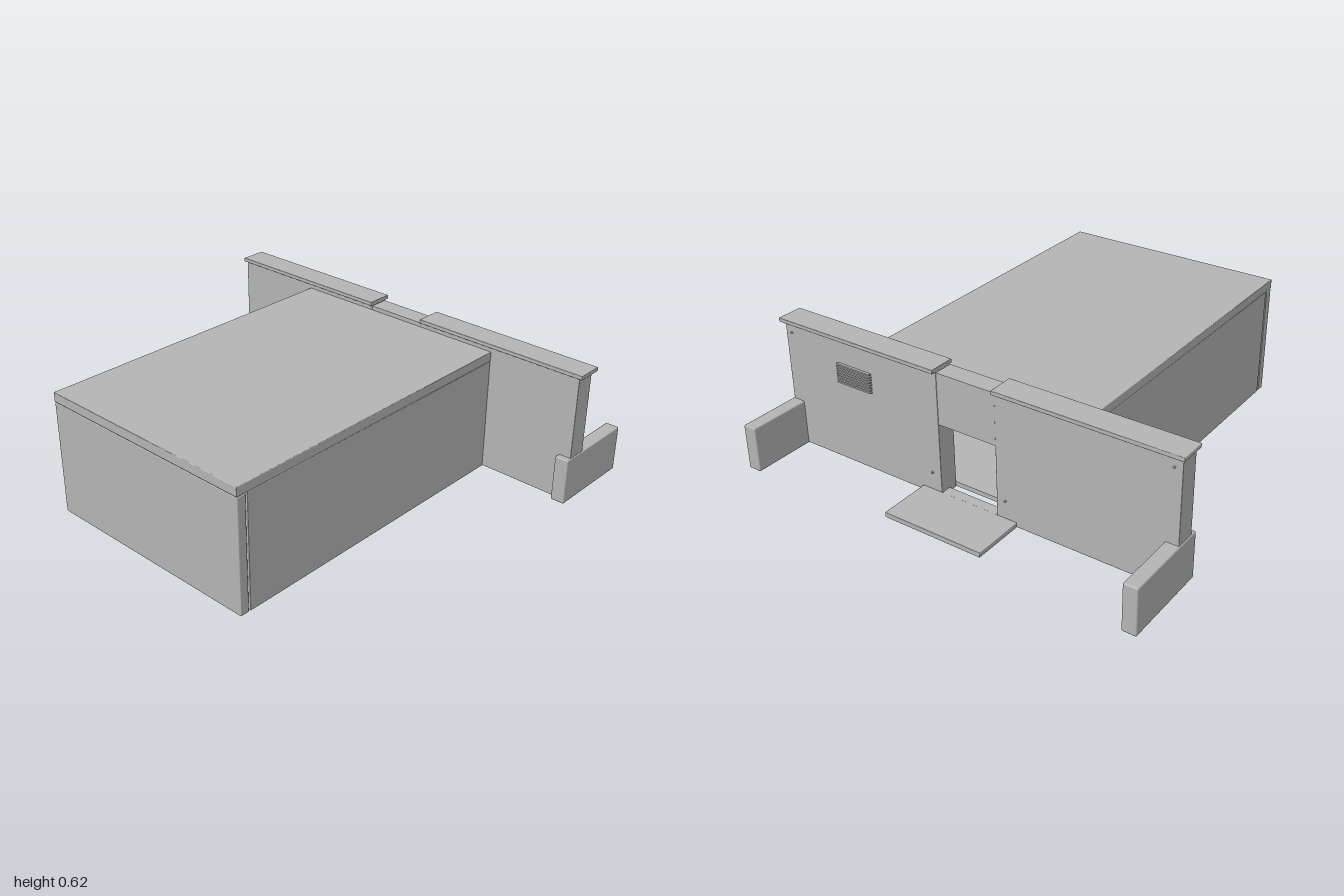
import * as THREE from 'three';
import { RoundedBoxGeometry } from 'three/addons/geometries/RoundedBoxGeometry.js';

export function createModel() {
  const model = new THREE.Group();
  model.name = 'houseBox';
  const greyBoard = new THREE.MeshStandardMaterial({ color: 0xb4b4b4 });
  greyBoard.name = 'grey board';

  // Board given by its min and max corners; r eases the edges slightly
  function board(name, [x0, x1], [y0, y1], [z0, z1], r = 0) {
    const size = [x1 - x0, y1 - y0, z1 - z0];
    const geometry = r ? new RoundedBoxGeometry(...size, 1, r) : new THREE.BoxGeometry(...size);
    const mesh = new THREE.Mesh(geometry, greyBoard);
    mesh.position.set((x0 + x1) / 2, (y0 + y1) / 2, (z0 + z1) / 2);
    mesh.name = name;
    model.add(mesh);
    return mesh;
  }
  const span = (side, a, b) => (side > 0 ? [a, b] : [-b, -a]);

  // Hollow box: floor, front panel and overhanging lid
  board('floor', [-0.535, 0.535], [0.003, 0.025], [-0.57, 0.91]);
  board('frontPanel', [-0.54, 0.54], [0.003, 0.53], [0.92, 0.963], 0.004);
  board('frontInnerPanel', [-0.5, 0.5], [0.003, 0.53], [0.9, 0.922]);
  board('lid', [-0.54, 0.54], [0.533, 0.577], [-0.575, 0.965], 0.003);

  // Mirrored boards
  for (const side of [1, -1]) {
    const prefix = side > 0 ? 'left' : 'right';
    board(prefix + 'SidePanel', span(side, 0.495, 0.54), [0.003, 0.533], [-0.572, 0.912], 0.003);
    board(prefix + 'BackWall', span(side, 0.145, 0.985), [0.003, 0.6], [-0.668, -0.573], 0.003);
    board(prefix + 'WallCap', span(side, 0.145, 1), [0.597, 0.616], [-0.69, -0.565], 0.003);
    board(prefix + 'Foot', span(side, 0.925, 0.99), [0, 0.216], [-0.965, -0.545], 0.006);

    // Small screws at opposite corners of each wall
    for (const [x, y] of [[0.95, 0.55], [0.19, 0.11]]) {
      const screw = new THREE.Mesh(new THREE.CylinderGeometry(0.005, 0.005, 0.008, 10), greyBoard);
      screw.rotation.x = Math.PI / 2;
      screw.position.set(side * x, y, -0.671);
      screw.name = 'screw';
      model.add(screw);
    }
  }

  // Doorway: lintel, threshold and landing board
  board('lintel', [-0.145, 0.145], [0.355, 0.595], [-0.666, -0.575]);
  board('threshold', [-0.143, 0.143], [0.003, 0.025], [-0.67, -0.62]);
  board('landing', [-0.245, 0.245], [0.003, 0.027], [-0.915, -0.668], 0.003);

  // Vent slats on the back of one wall
  for (let i = 0; i < 8; i++) {
    const y = 0.392 + i * 0.0123;
    const slat = board('ventSlat', [0.5, 0.685], [y, y + 0.006], [-0.684, -0.667]);
    slat.rotation.x = 0.15;
  }
  return model;
}
